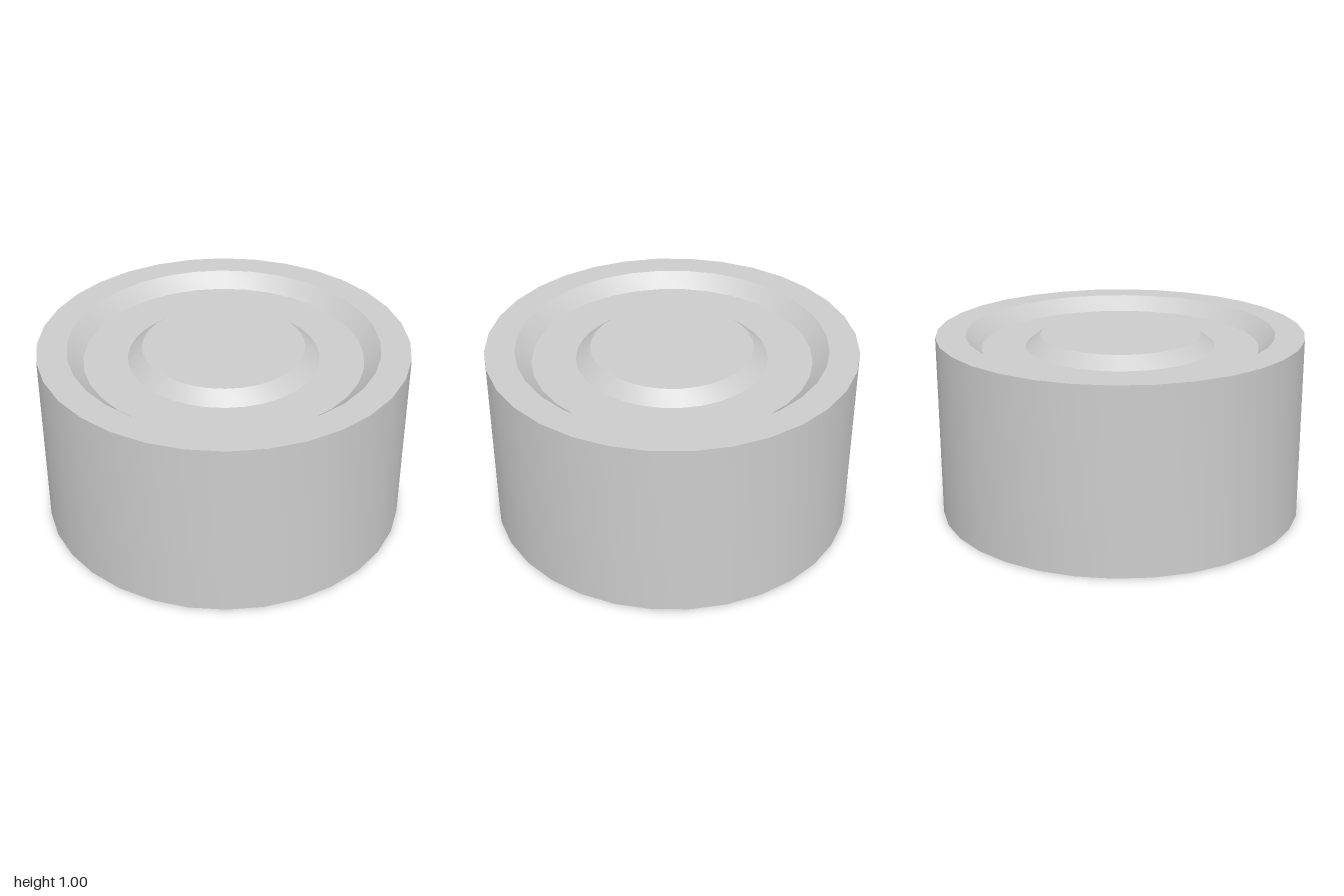
import * as THREE from 'three';
import { toCreasedNormals } from 'three/addons/utils/BufferGeometryUtils.js';

const SIDES = 32;
const HEIGHT = 1;
const GROOVE_DEPTH = 0.077;
const HUB_DEPTH = 0.013;

// Half profile of one end face, from the axis outwards: [radius, depth below the rim]
const FACE = [
  [0, HUB_DEPTH],
  [0.438, HUB_DEPTH],
  [0.517, GROOVE_DEPTH],
  [0.755, GROOVE_DEPTH],
  [0.84, 0],
  [1, 0],
];

export function createModel() {
  const group = new THREE.Group();
  group.name = 'groovedDisc';
  const material = new THREE.MeshStandardMaterial({ color: 0xcccccc });

  // Bottom face outwards, up the side wall, then the mirrored top face inwards
  const bottom = FACE.map(([r, d]) => new THREE.Vector2(r, d));
  const top = FACE.map(([r, d]) => new THREE.Vector2(r, HEIGHT - d)).reverse();
  const lathe = new THREE.LatheGeometry([...bottom, ...top], SIDES);

  // Smooth around the axis, sharp at the groove and rim edges
  const body = new THREE.Mesh(toCreasedNormals(lathe, 0.5), material);
  body.name = 'body';
  group.add(body);
  return group;
}
